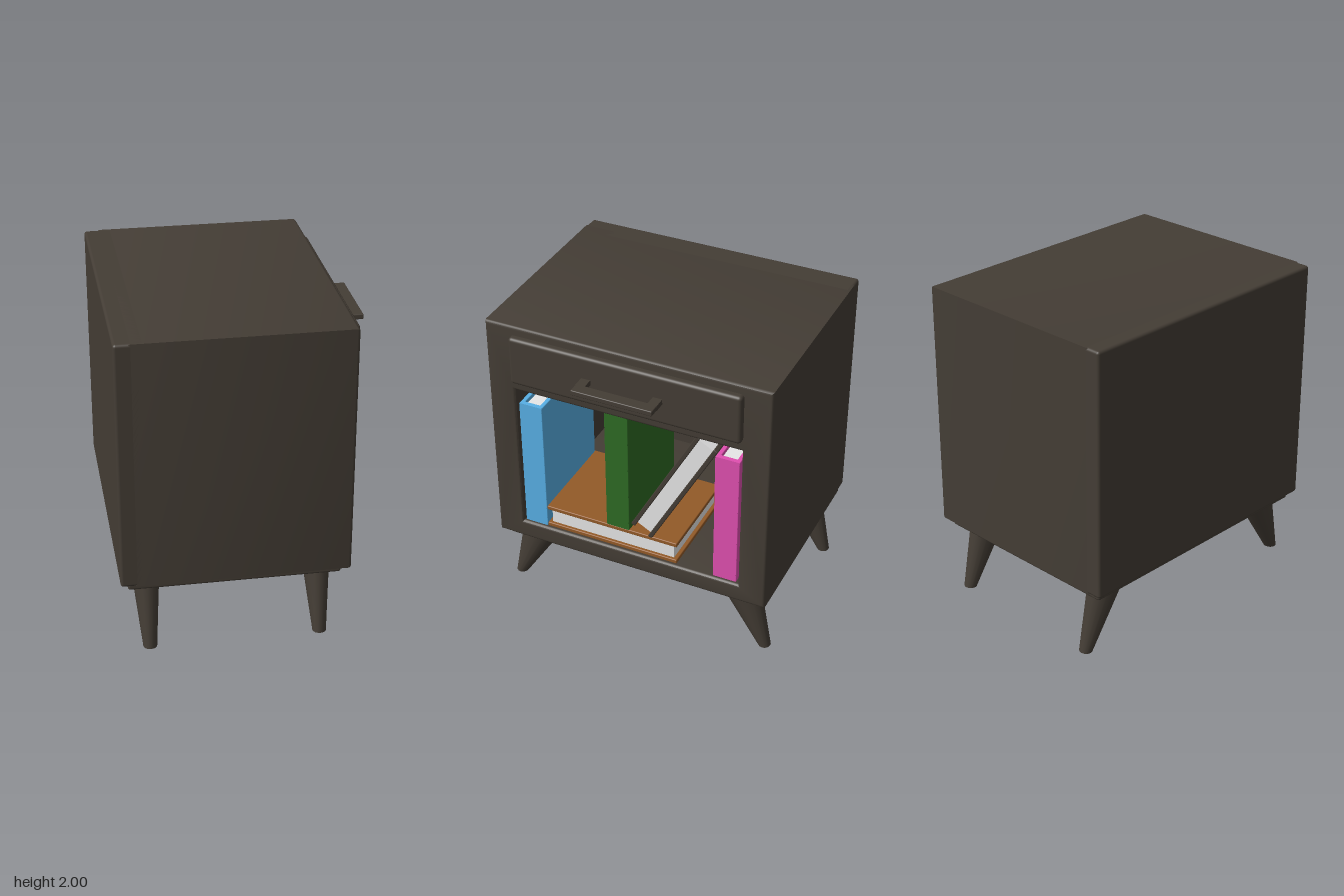
import * as THREE from 'three';
import { toCreasedNormals } from 'three/addons/utils/BufferGeometryUtils.js';
import { RoundedBoxGeometry } from 'three/addons/geometries/RoundedBoxGeometry.js';

const paint = (name, color) => Object.assign(new THREE.MeshStandardMaterial({ color }), { name });

export function createModel() {
  const wood = paint('dark wood', 0x443d35);
  const paper = paint('paper', 0xf0f0f0);
  const blue = paint('blue cover', 0x58b0e6);
  const green = paint('green cover', 0x2e6a24);
  const pink = paint('pink cover', 0xe04fb0);
  const brown = paint('brown cover', 0x935a28);

  const model = new THREE.Group();
  model.name = 'nightstand';

  const add = (parent, name, geometry, material) => {
    const mesh = new THREE.Mesh(geometry, material);
    mesh.name = name;
    parent.add(mesh);
    return mesh;
  };
  // box given by its limits on each axis, rounded when r > 0
  const box = (parent, name, material, [x0, x1], [y0, y1], [z0, z1], r = 0) => {
    const size = [x1 - x0, y1 - y0, z1 - z0];
    const geometry = r ? new RoundedBoxGeometry(...size, 3, r) : new THREE.BoxGeometry(...size);
    const mesh = add(parent, name, geometry, material);
    mesh.position.set((x0 + x1) / 2, (y0 + y1) / 2, (z0 + z1) / 2);
    return mesh;
  };
  const rect = (target, z0, z1, y0, y1) => {
    target.moveTo(z0, y0).lineTo(z1, y0).lineTo(z1, y1).lineTo(z0, y1).closePath();
    return target;
  };

  // cabinet: bevelled frame with an open cubby, closed by a back panel
  const outline = rect(new THREE.Shape(), -0.905, 0.905, 0.45, 2);
  outline.holes.push(rect(new THREE.Path(), -0.73, 0.73, 0.57, 1.56));
  const bevel = 0.018;
  const frame = new THREE.ExtrudeGeometry(outline, {
    depth: 1.3 - 2 * bevel, bevelThickness: bevel, bevelSize: bevel, bevelOffset: -bevel, bevelSegments: 3,
  });
  frame.rotateY(Math.PI / 2).translate(-0.7 + bevel, 0, 0);
  add(model, 'cabinetFrame', toCreasedNormals(frame, 0.6), wood);
  box(model, 'backPanel', wood, [-0.78, -0.6], [0.45, 2], [-0.905, 0.905], 0.018);
  box(model, 'basePlate', wood, [-0.735, 0.547], [0.4, 0.47], [-0.865, 0.865], 0.015);

  // drawer front and its handle
  box(model, 'drawerFront', wood, [0.56, 0.642], [1.63, 1.945], [-0.735, 0.735], 0.022);
  const handle = new THREE.Group();
  handle.name = 'drawerHandle';
  model.add(handle);
  box(handle, 'handleBar', wood, [0.705, 0.78], [1.77, 1.803], [-0.256, 0.256], 0.006);
  for (const s of [-1, 1]) {
    const z = [s * 0.256, s * 0.198].sort((a, b) => a - b);
    box(handle, 'handlePost', wood, [0.63, 0.72], [1.77, 1.803], z);
  }

  // splayed tapering legs: a cylinder reshaped into leaning oval sections
  const lerp = THREE.MathUtils.lerp;
  for (const x of [-0.613, 0.423]) {
    for (const side of [-1, 1]) {
      const leg = new THREE.CylinderGeometry(1, 1, 0.41, 16, 1);
      const p = leg.attributes.position;
      for (let i = 0; i < p.count; i++) {
        const t = p.getY(i) > 0 ? 1 : 0;
        p.setXYZ(i,
          x + p.getX(i) * lerp(0.042, 0.083, t),
          t * 0.41,
          0.007 + side * lerp(0.86, 0.688, t) + p.getZ(i) * lerp(0.039, 0.135, t));
      }
      add(model, 'leg', toCreasedNormals(leg, 0.8), wood);
    }
  }

  // books: two boards and a spine around a page block; spine faces +x
  const H = 0.885, T = 0.155, D = 0.65, B = 0.028;
  const addBook = (name, cover, y, z, tilt = 0, pagesOut = false) => {
    const book = new THREE.Group();
    book.name = name;
    const h = H / 2, t = T / 2, d = D / 2;
    for (const s of [-1, 1]) {
      const mid = s * (t - B / 2);
      box(book, 'coverBoard', cover, [-d, d], [-h, h], [mid - B / 2, mid + B / 2], 0.006);
    }
    box(book, 'spine', cover, [d - B, d], [-h, h], [-t + 0.004, t - 0.004]);
    box(book, 'pages', paper, [-d + 0.02, d - B], [-h + 0.025, h - 0.025], [-t + B, t - B]);
    book.position.set(0.575 - d, y, z);
    book.rotation.set(tilt, pagesOut ? Math.PI : 0, 0);
    model.add(book);
  };
  const floor = 0.57;
  addBook('blueBook', blue, floor + H / 2, 0.647);
  addBook('pinkBook', pink, floor + H / 2, -0.633);
  addBook('lyingBook', brown, floor + T / 2, 0.126, Math.PI / 2, true);
  addBook('greenBook', green, floor + T + H / 2, 0.077);
  addBook('leaningBook', wood, 1.133, -0.291, -0.5, true);

  return model;
}
